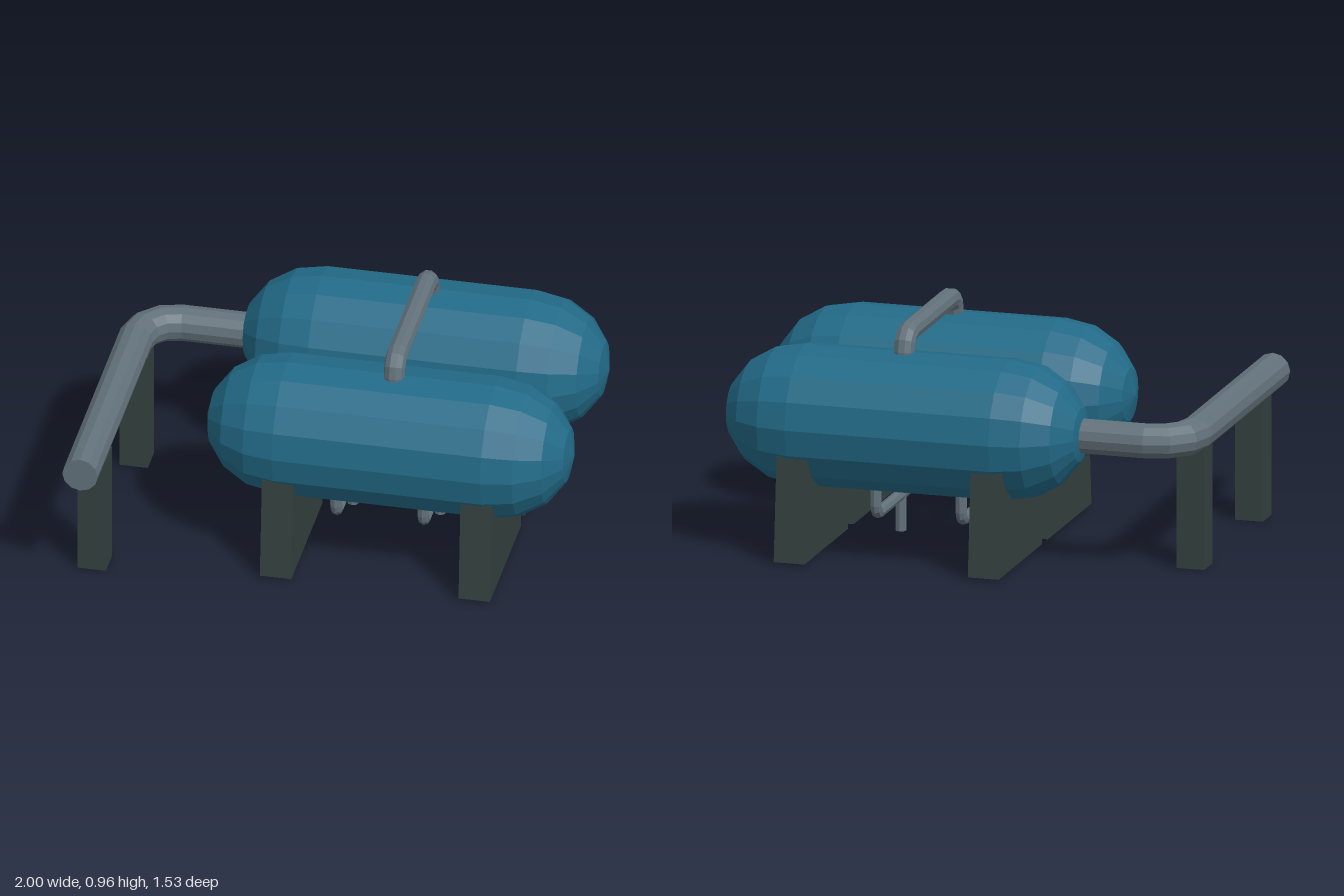
import * as THREE from 'three';

const steelBlue = new THREE.MeshStandardMaterial({ name: 'tankBlue', color: 0x226a87 });
const pipeGrey = new THREE.MeshStandardMaterial({ name: 'pipeGrey', color: 0x62717a });
const supportGrey = new THREE.MeshStandardMaterial({ name: 'supportDarkGrey', color: 0x33403f });

// Faceted mesh: unshared corners give one normal per face
function part(name, geometry, material) {
  const g = geometry.index ? geometry.toNonIndexed() : geometry;
  g.computeVertexNormals();
  const mesh = new THREE.Mesh(g, material);
  mesh.name = name;
  return mesh;
}

// Replaces each inner corner of a path with a short arc of the given radius
function roundPath(corners, radius, steps = 3) {
  const pts = corners.map((c) => new THREE.Vector3(...c));
  const out = [pts[0]];
  for (let i = 1; i < pts.length - 1; i++) {
    const p = pts[i];
    const a = pts[i - 1].clone().sub(p).normalize();
    const b = pts[i + 1].clone().sub(p).normalize();
    for (let k = 0; k <= steps; k++) {
      const t = (k / steps) * Math.PI / 2;
      out.push(p.clone()
        .addScaledVector(a, radius * (1 - Math.sin(t)))
        .addScaledVector(b, radius * (1 - Math.cos(t))));
    }
  }
  out.push(pts[pts.length - 1]);
  return out;
}

// Closed pipe swept along a flat path with mitred rings; normal is the plane's normal
function pipeGeometry(path, r, sides, normal) {
  const n = new THREE.Vector3(...normal);
  const pos = [], idx = [];
  const last = path.length - 1;
  path.forEach((p, i) => {
    const a = path[Math.max(i - 1, 0)], b = path[Math.min(i + 1, last)];
    const before = p.clone().sub(a).normalize(), after = b.clone().sub(p).normalize();
    const t = before.clone().add(after).normalize();
    const mitre = 1 / t.dot(i < last ? after : before);
    const side = t.clone().cross(n);
    for (let k = 0; k < sides; k++) {
      const ang = (k / sides) * Math.PI * 2;
      const v = p.clone()
        .addScaledVector(n, r * Math.cos(ang))
        .addScaledVector(side, r * mitre * Math.sin(ang));
      pos.push(v.x, v.y, v.z);
    }
  });
  for (let k = 0; k < sides; k++) {
    const k2 = (k + 1) % sides;
    for (let i = 0; i < last; i++) {
      const a = i * sides + k, b = i * sides + k2, c = a + sides, d = b + sides;
      idx.push(a, b, d, a, d, c);
    }
    // End caps
    if (k > 0 && k < sides - 1) {
      const e = last * sides;
      idx.push(0, k2, k, e, e + k, e + k2);
    }
  }
  const g = new THREE.BufferGeometry();
  g.setAttribute('position', new THREE.Float32BufferAttribute(pos, 3));
  g.setIndex(idx);
  return g;
}

// Horizontal tank with elliptical ends
function tankGeometry() {
  const R = 0.291, half = 0.43, cap = 0.328, profile = [];
  for (let i = 0; i <= 4; i++) {
    const t = (i / 8) * Math.PI;
    profile.push(new THREE.Vector2(R * Math.sin(t), -half - cap * Math.cos(t)));
  }
  for (let i = 4; i >= 0; i--) profile.push(new THREE.Vector2(profile[i].x, -profile[i].y));
  return new THREE.LatheGeometry(profile, 16).rotateZ(-Math.PI / 2);
}

// Tapered foot whose top is hidden inside the tank
function saddleGeometry() {
  const s = new THREE.Shape([[-0.298, 0.01], [0.298, 0.01], [0.26, 0.44], [-0.26, 0.44]]
    .map(([x, y]) => new THREE.Vector2(x, y)));
  return new THREE.ExtrudeGeometry(s, { depth: 0.13, bevelEnabled: false })
    .translate(0, 0, -0.065).rotateY(Math.PI / 2);
}

export function createModel() {
  const model = new THREE.Group();
  model.name = 'twinTankStation';
  const frontZ = 0.208, rearZ = -0.465, tankY = 0.56;

  // Two tanks, each on two saddles
  for (const [label, z] of [['front', frontZ], ['rear', rearZ]]) {
    const tank = part(label + 'Tank', tankGeometry(), steelBlue);
    tank.position.set(0.237, tankY, z);
    model.add(tank);
    for (const x of [-0.175, 0.645]) {
      const saddle = part(label + 'Saddle', saddleGeometry(), supportGrey);
      saddle.position.set(x, 0, z);
      model.add(saddle);
    }
  }

  // Large supply pipe out of the rear tank
  const supply = roundPath([[-0.4, 0.555, -0.46], [-0.927, 0.555, -0.46], [-0.927, 0.555, 0.764]], 0.16);
  model.add(part('supplyPipe', pipeGeometry(supply, 0.073, 12, [0, 1, 0]), pipeGrey));

  // Posts under the supply pipe
  for (const z of [0.527, -0.275]) {
    const post = part('pipePost', new THREE.BoxGeometry(0.117, 0.52, 0.116), supportGrey);
    post.position.set(-0.917, 0.26, z);
    model.add(post);
  }

  // Bridge pipe joining the tank tops
  const bridge = roundPath([[0.252, 0.78, 0.215], [0.252, 0.918, 0.215],
    [0.252, 0.918, -0.462], [0.252, 0.78, -0.462]], 0.07);
  model.add(part('bridgePipe', pipeGeometry(bridge, 0.043, 10, [1, 0, 0]), pipeGrey));

  // Drain pipes joining the tank undersides, each with a leg to the ground
  for (const x of [0.01, 0.37]) {
    const drain = roundPath([[x, 0.32, frontZ], [x, 0.161, frontZ],
      [x, 0.161, rearZ], [x, 0.32, rearZ]], 0.04);
    model.add(part('drainPipe', pipeGeometry(drain, 0.024, 8, [1, 0, 0]), pipeGrey));
    const leg = part('drainLeg', new THREE.CylinderGeometry(0.024, 0.024, 0.15, 8), pipeGrey);
    leg.position.set(x, 0.085, -0.122);
    model.add(leg);
  }
  return model;
}
